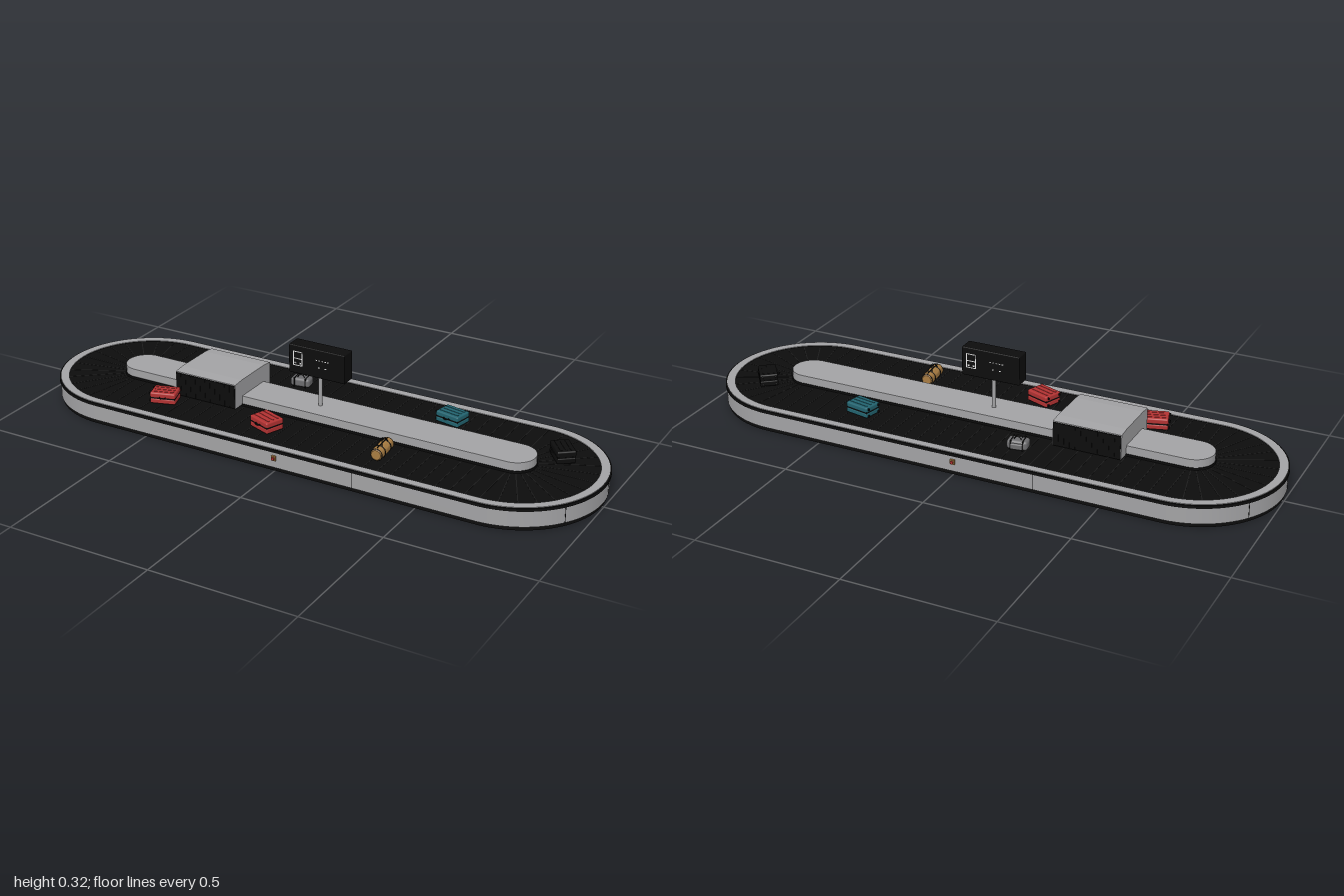
import * as THREE from 'three';
import { toCreasedNormals } from 'three/addons/utils/BufferGeometryUtils.js';
import { RoundedBoxGeometry } from 'three/addons/geometries/RoundedBoxGeometry.js';

const colour = (name, hex) => {
  const m = new THREE.MeshStandardMaterial({ color: hex });
  m.name = name;
  return m;
};
const steel = colour('brushed steel', 0xa2a2a4);
const black = colour('black rubber', 0x0c0c0c);
const slate = colour('slat seam', 0x1b1b1b);
const red = colour('red shell', 0xb23232);
const teal = colour('teal shell', 0x22636f);
const tan = colour('tan leather', 0xa87c42);
const grey = colour('grey fabric', 0x6c6c6e);
const white = colour('white sign mark', 0xe8e8e8);

const HALF = 0.7; // half length of the straight run
const FLOOR = 0.078; // height of the belt surface

function add(parent, name, geometry, material, x = 0, y = 0, z = 0) {
  const mesh = new THREE.Mesh(geometry, material);
  mesh.name = name;
  mesh.position.set(x, y, z);
  parent.add(mesh);
  return mesh;
}
const box = (parent, name, mat, w, h, d, x, y, z) =>
  add(parent, name, new THREE.BoxGeometry(w, h, d), mat, x, y, z);

// Race-track outline with semicircular ends
function track(r, Type = THREE.Shape) {
  const s = new Type();
  s.moveTo(-HALF, -r);
  s.lineTo(HALF, -r);
  s.absarc(HALF, 0, r, -Math.PI / 2, Math.PI / 2, false);
  s.lineTo(-HALF, r);
  s.absarc(-HALF, 0, r, Math.PI / 2, Math.PI * 1.5, false);
  return s;
}
function trackSolid(outer, inner, y0, y1) {
  const s = track(outer);
  if (inner) s.holes.push(track(inner, THREE.Path));
  const g = new THREE.ExtrudeGeometry(s, { depth: y1 - y0, bevelEnabled: false, curveSegments: 40 });
  g.rotateX(-Math.PI / 2);
  g.translate(0, y0, 0);
  return toCreasedNormals(g, 0.5);
}

// Hard suitcase lying flat: two shells, dark zip, ribs, handle and wheels
function suitcase(name, shell, x, z, angle, w = 0.088, d = 0.066, h = 0.042) {
  const g = new THREE.Group();
  g.name = name;
  g.position.set(x, FLOOR, z);
  g.rotation.y = angle;
  for (const y of [0.26, 0.74])
    add(g, 'suitcaseShell', new RoundedBoxGeometry(w, h * 0.45, d, 2, 0.005), shell, 0, h * y, 0);
  box(g, 'suitcaseZip', black, w - 0.003, h * 0.16, d - 0.003, 0, h / 2, 0);
  for (let i = -1; i <= 1; i++)
    box(g, 'suitcaseRib', shell, w * 0.8, 0.002, 0.006, 0, h * 0.97, i * d * 0.27);
  const handle = add(g, 'suitcaseHandle', new THREE.TorusGeometry(0.01, 0.0018, 6, 12, Math.PI), black, 0, h * 0.6, d / 2);
  handle.rotation.x = Math.PI / 2;
  for (const sx of [-1, 1]) for (const y of [0.2, 0.8]) {
    const wheel = add(g, 'suitcaseWheel', new THREE.CylinderGeometry(0.004, 0.004, 0.004, 10), black, -w / 2 - 0.002, h * y, sx * d * 0.36);
    wheel.rotation.x = Math.PI / 2;
  }
  return g;
}

// Barrel bag lying along z
function duffel(x, z, angle) {
  const g = new THREE.Group();
  g.name = 'duffelBag';
  g.position.set(x, FLOOR, z);
  g.rotation.y = angle;
  const profile = [[0, -0.05], [0.016, -0.05], [0.02, -0.046], [0.021, 0], [0.02, 0.046], [0.016, 0.05], [0, 0.05]]
    .map(p => new THREE.Vector2(...p));
  const body = add(g, 'duffelBody', toCreasedNormals(new THREE.LatheGeometry(profile, 24), 0.6), tan, 0, 0.021, 0);
  body.rotation.x = Math.PI / 2;
  for (const s of [-1, 1]) {
    add(g, 'duffelStrap', new THREE.TorusGeometry(0.0208, 0.0016, 6, 24), black, 0, 0.021, s * 0.022);
    add(g, 'duffelEndBand', new THREE.TorusGeometry(0.0195, 0.0014, 6, 24), black, 0, 0.021, s * 0.046);
    const path = new THREE.CatmullRomCurve3([
      [s * 0.009, 0.04, -0.022], [s * 0.004, 0.053, -0.013], [s * 0.004, 0.055, 0.013], [s * 0.009, 0.04, 0.022],
    ].map(p => new THREE.Vector3(...p)));
    add(g, 'duffelHandle', new THREE.TubeGeometry(path, 16, 0.0018, 6), black);
  }
  box(g, 'duffelZip', black, 0.003, 0.002, 0.08, 0, 0.042, 0);
  return g;
}

// Soft grey holdall with pocket and handles
function holdall(x, z, angle) {
  const g = new THREE.Group();
  g.name = 'greyHoldall';
  g.position.set(x, FLOOR, z);
  g.rotation.y = angle;
  add(g, 'holdallBody', new RoundedBoxGeometry(0.07, 0.032, 0.044, 3, 0.01), grey, 0, 0.016, 0);
  add(g, 'holdallPocket', new RoundedBoxGeometry(0.04, 0.02, 0.012, 2, 0.004), grey, 0, 0.014, -0.023);
  for (const s of [-1, 1]) {
    box(g, 'holdallStrap', black, 0.004, 0.033, 0.046, s * 0.02, 0.0165, 0);
    add(g, 'holdallHandle', new THREE.TorusGeometry(0.012, 0.0015, 6, 14, Math.PI), black, 0, 0.03, s * 0.008);
  }
  return g;
}

export function createModel() {
  const model = new THREE.Group();
  model.name = 'baggageCarousel';

  // Outer rail: plinth, wall, bumper and cap
  add(model, 'plinth', trackSolid(0.293, 0.28, 0, 0.013), black);
  add(model, 'outerWall', trackSolid(0.297, 0.272, 0.013, 0.067), steel);
  add(model, 'bumper', trackSolid(0.3, 0.268, 0.067, 0.077), black);
  add(model, 'railCap', trackSolid(0.295, 0.267, 0.077, 0.079), steel);

  // Belt with slat seams around the loop
  add(model, 'belt', trackSolid(0.27, 0.066, 0.067, 0.0755), black);
  for (let i = 0; i <= 28; i++) for (const s of [-1, 1])
    box(model, 'beltSeam', slate, 0.003, 0.001, 0.19, -HALF + i * 0.05, 0.0757, s * 0.17);
  for (const s of [-1, 1]) for (let i = 1; i < 14; i++) {
    const a = -Math.PI / 2 + i * Math.PI / 14;
    const seam = box(model, 'beltSeam', slate, 0.19, 0.001, 0.003,
      s * (HALF + 0.17 * Math.cos(a)), 0.0757, 0.17 * Math.sin(a));
    seam.rotation.y = -s * a;
  }

  // Centre island
  add(model, 'island', trackSolid(0.068, 0, 0.013, 0.111), steel);
  add(model, 'islandSkirt', trackSolid(0.0705, 0.066, 0.075, 0.083), black);

  // Feed housing with strip curtains on both sides
  const outline = new THREE.Shape([[-0.11, 0.08], [0.11, 0.08], [0.11, 0.166], [0.07, 0.17], [-0.07, 0.17], [-0.11, 0.166]]
    .map(p => new THREE.Vector2(...p)));
  const housing = new THREE.ExtrudeGeometry(outline, { depth: 0.236, bevelEnabled: false });
  housing.rotateY(Math.PI / 2);
  add(model, 'feedHousing', housing, steel, -0.498, 0, 0);
  for (const s of [-1, 1]) {
    box(model, 'curtainBacking', black, 0.232, 0.082, 0.002, -0.38, 0.122, s * 0.1105);
    for (let i = 0; i < 12; i++)
      box(model, 'curtainStrip', black, 0.0175, 0.08, 0.003, -0.38 + (i - 5.5) * 0.0193, 0.121, s * 0.111);
  }

  // Sign on its post, marked on both faces
  add(model, 'signPost', new THREE.CylinderGeometry(0.0065, 0.0065, 0.115, 20), steel, 0, 0.166, 0);
  add(model, 'signBox', new RoundedBoxGeometry(0.208, 0.1, 0.054, 2, 0.003), black, 0, 0.27, 0);
  for (const turn of [0, Math.PI]) {
    const face = new THREE.Group();
    face.name = 'signFace';
    face.rotation.y = turn;
    model.add(face);
    const z = 0.0275;
    for (const y of [0.25, 0.274, 0.298]) box(face, 'iconBar', white, 0.032, 0.003, 0.001, -0.07, y, z);
    for (const s of [-1, 1]) {
      box(face, 'iconSide', white, 0.003, 0.05, 0.001, -0.07 + s * 0.016, 0.274, z);
      box(face, 'iconFoot', white, 0.006, 0.005, 0.001, -0.07 + s * 0.009, 0.258, z);
    }
    for (let i = 0; i < 5; i++) box(face, 'signDash', white, 0.006, 0.003, 0.001, i * 0.011, 0.283, z);
    for (const x of [0.01, 0.035]) box(face, 'signDash', white, 0.007, 0.003, 0.001, x, 0.258, z);
  }

  // Emergency stops and wall panel joints
  for (const s of [-1, 1]) {
    box(model, 'stopBox', tan, 0.015, 0.016, 0.008, 0, 0.048, s * 0.3);
    const button = add(model, 'stopButton', new THREE.CylinderGeometry(0.005, 0.005, 0.006, 14), red, 0, 0.048, s * 0.306);
    button.rotation.x = Math.PI / 2;
    box(model, 'panelJoint', black, 0.002, 0.054, 0.002, s * 0.28, 0.04, s * 0.2968);
    for (const z of [0.172, -0.048]) {
      const a = Math.asin(z / 0.297);
      const joint = box(model, 'panelJoint', black, 0.002, 0.054, 0.002,
        s * (HALF + 0.2968 * Math.cos(a)), 0.04, s * z);
      joint.rotation.y = -a;
    }
  }

  // Luggage on the belt
  model.add(
    suitcase('redSuitcaseLeft', red, -0.505, 0.167, 0.3),
    suitcase('redSuitcaseMiddle', red, -0.102, 0.174, -0.36, 0.09, 0.07),
    suitcase('tealSuitcase', teal, 0.403, -0.166, -0.2, 0.09, 0.066, 0.04),
    suitcase('blackSuitcase', black, 0.818, -0.1, -0.9, 0.09, 0.062, 0.046),
    duffel(0.315, 0.16, 0.08),
    holdall(-0.17, -0.17, 0.15),
  );
  return model;
}
